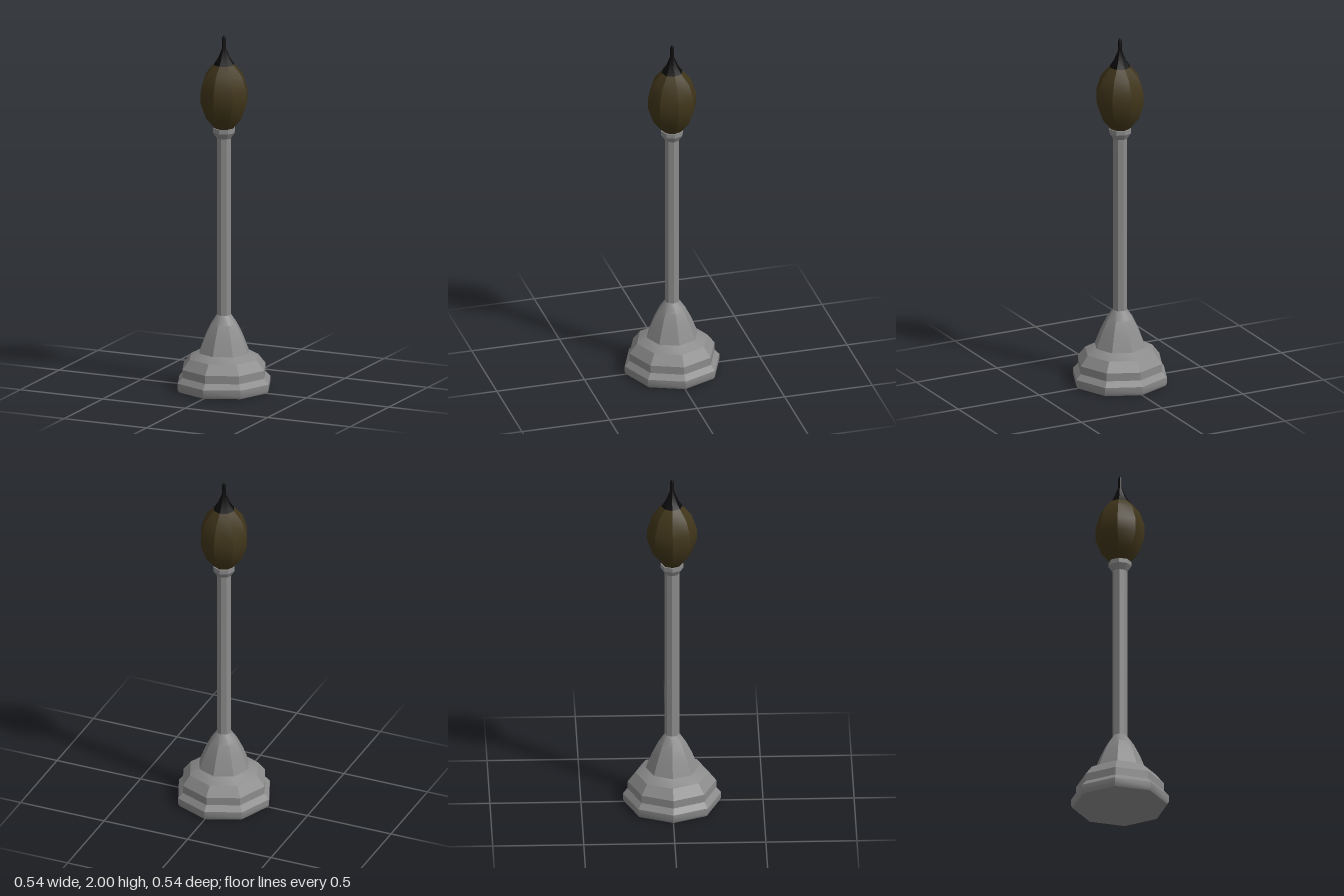
import * as THREE from 'three';
import { toCreasedNormals } from 'three/addons/utils/BufferGeometryUtils.js';

// Eight-sided turned part from [radius, height] pairs, listed bottom to top
function turned(name, color, crease, profile) {
  const points = profile.map(([r, y]) => new THREE.Vector2(r, y));
  const geometry = toCreasedNormals(new THREE.LatheGeometry(points, 8), crease);
  const mesh = new THREE.Mesh(geometry, new THREE.MeshStandardMaterial({ color }));
  mesh.name = name;
  return mesh;
}

export function createModel() {
  const group = new THREE.Group();
  group.name = 'streetLamp';
  const iron = 0x8b8b8b;

  group.add(
    // Stepped plinth
    turned('plinth', iron, 0.5, [
      [0, 0], [0.262, 0], [0.27, 0.015], [0.27, 0.05],
      [0.243, 0.08], [0.243, 0.125], [0.2, 0.18],
    ]),
    // Concave flare blending softly into the plinth
    turned('flare', iron, 0.68, [
      [0.2, 0.18], [0.145, 0.21], [0.11, 0.3], [0.075, 0.37], [0.041, 0.42],
    ]),
    // Slender post
    turned('post', iron, 0.5, [[0.041, 0.41], [0.041, 1.43]]),
    // Collar holding the globe
    turned('collar', iron, 0.5, [
      [0.04, 1.415], [0.063, 1.45], [0.063, 1.475], [0, 1.475],
    ]),
    // Lamp globe
    turned('globe', 0x40351a, 0.5, [
      [0, 1.475], [0.055, 1.475], [0.105, 1.535], [0.136, 1.62],
      [0.136, 1.69], [0.108, 1.775], [0.059, 1.832],
    ]),
    // Pointed finial
    turned('finial', 0x0a0a0a, 0.6, [
      [0.059, 1.832], [0.036, 1.866], [0.011, 1.925], [0.011, 1.982], [0, 2],
    ]),
  );
  return group;
}
